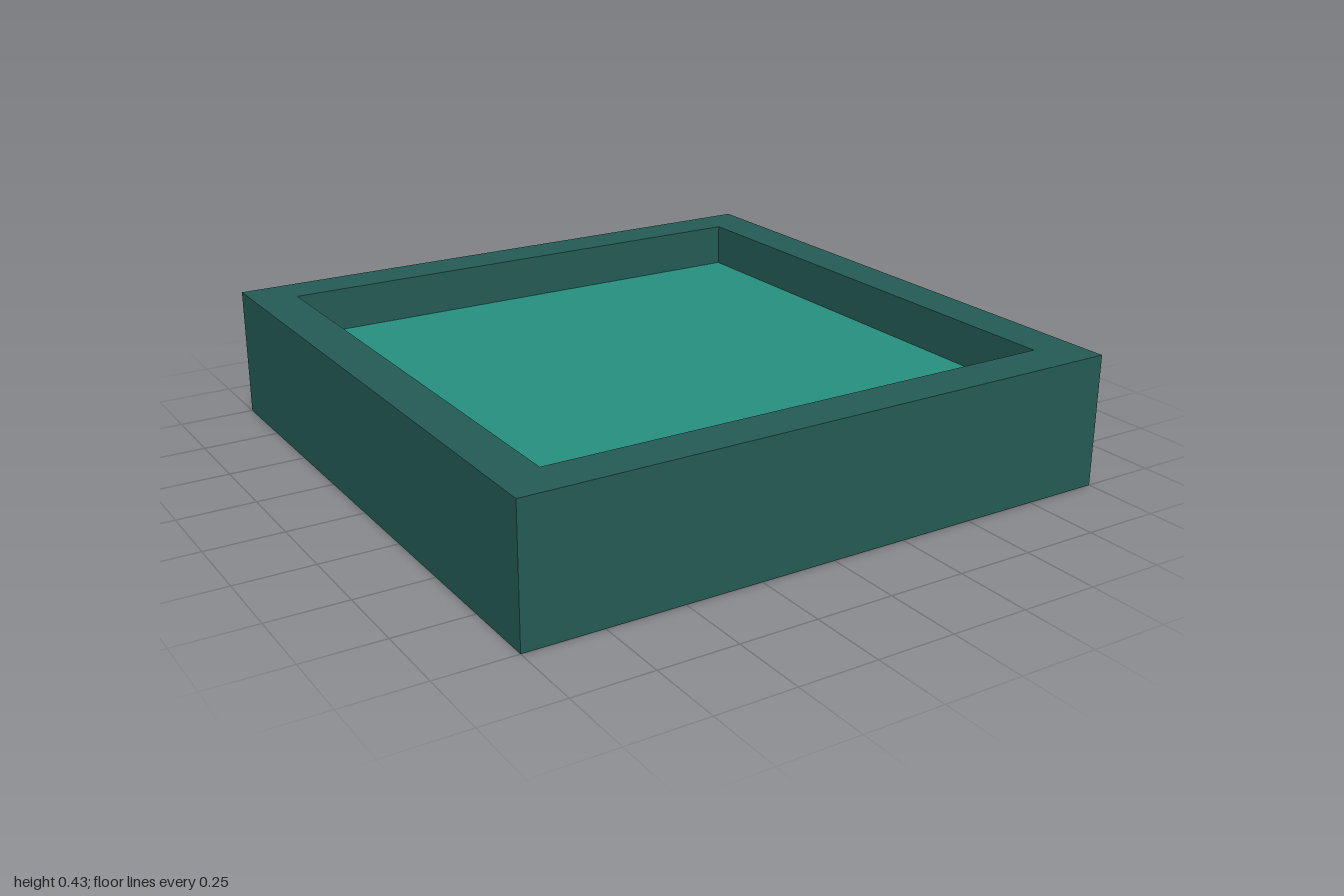
import * as THREE from 'three';

const OUTER = 1, INNER = 0.857, HEIGHT = 0.43;
const FLOOR_BOTTOM = 0.143, FLOOR_TOP = 0.286;

function material(name, color) {
  const m = new THREE.MeshStandardMaterial({ color });
  m.name = name;
  return m;
}

// Square outline, used for the rim and its opening
function square(path, r) {
  path.moveTo(-r, -r);
  path.lineTo(r, -r);
  path.lineTo(r, r);
  path.lineTo(-r, r);
  path.closePath();
  return path;
}

// Tab with two rounded corners, lying against the front inner wall
function tabShape(x0, x1, zTip) {
  const s = new THREE.Shape();
  const r = Math.min(0.022, (x1 - x0) * 0.48);
  const base = -INNER, tip = -zTip;
  s.moveTo(x0, base);
  s.lineTo(x1, base);
  s.lineTo(x1, tip - r);
  s.quadraticCurveTo(x1, tip, x1 - r, tip);
  s.lineTo(x0 + r, tip);
  s.quadraticCurveTo(x0, tip, x0, tip - r);
  s.closePath();
  return s;
}

// Extrude a plan shape upwards from height y
function slab(name, shape, depth, y, mat) {
  const g = new THREE.ExtrudeGeometry(shape, { depth, bevelEnabled: false, curveSegments: 5 });
  g.rotateX(-Math.PI / 2);
  const mesh = new THREE.Mesh(g, mat);
  mesh.name = name;
  mesh.position.y = y;
  return mesh;
}

export function createModel() {
  const model = new THREE.Group();
  model.name = 'tray';
  const dark = material('dark teal', 0x245c55);
  const light = material('light teal', 0x26907f);

  // Square rim, open above and below the floor
  const rim = square(new THREE.Shape(), OUTER);
  rim.holes.push(square(new THREE.Path(), INNER));
  model.add(slab('rim', rim, HEIGHT, 0, dark));

  // Floor panel, halfway up the rim
  model.add(slab('floor', square(new THREE.Shape(), INNER), FLOOR_TOP - FLOOR_BOTTOM, FLOOR_BOTTOM, light));

  // Row of alternating wide and narrow tabs along the front edge
  const tabs = new THREE.Group();
  tabs.name = 'frontTabs';
  const spans = [
    [-0.135, -0.05, 0.772], [0.063, 0.115, 0.785], [0.232, 0.307, 0.776],
    [0.426, 0.473, 0.79], [0.592, 0.67, 0.776], [0.785, INNER, 0.788],
  ];
  for (const [x0, x1, zTip] of spans) {
    tabs.add(slab('tab', tabShape(x0, x1, zTip), 0.003, FLOOR_TOP, dark));
  }
  model.add(tabs);

  return model;
}
